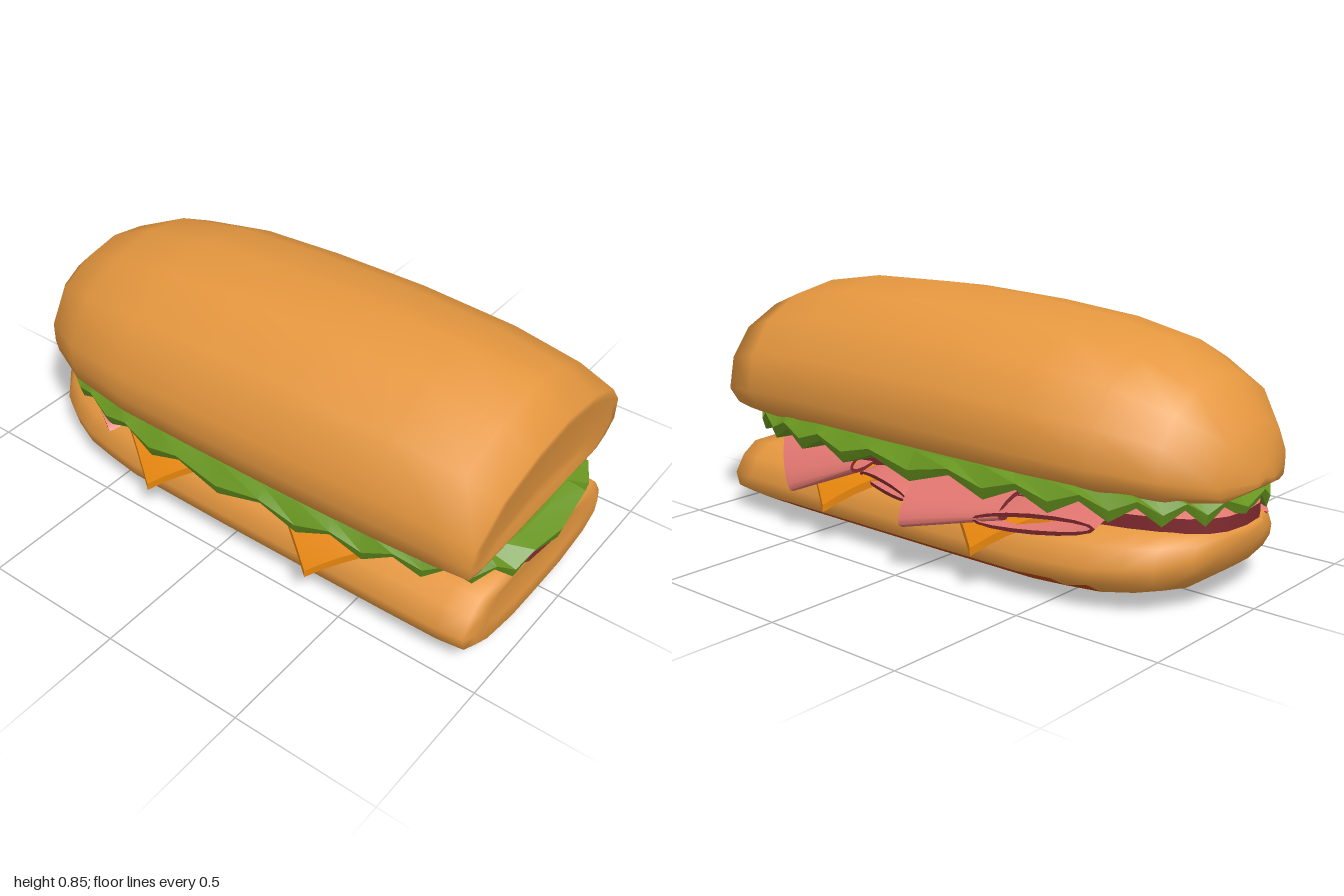
import * as THREE from 'three';
import { toCreasedNormals } from 'three/addons/utils/BufferGeometryUtils.js';

const paint = (name, color) => Object.assign(new THREE.MeshStandardMaterial({ color }), { name });
const V = (x, y, z) => new THREE.Vector3(x, y, z);

// Skin a list of equal rings; pick(normal, centre, band) returns a material index per face.
function loft(name, rings, mats, { wrap = false, crease = 1, pick = () => 0 } = {}) {
  const n = rings[0].length, m = rings.length;
  const pts = rings.flat(), tris = [];
  for (let r = 0; r < (wrap ? m : m - 1); r++) {
    const a = r * n, b = ((r + 1) % m) * n;
    for (let i = 0; i < n; i++) {
      const j = (i + 1) % n;
      tris.push([a + i, a + j, b + j, r], [a + i, b + j, b + i, r]);
    }
  }
  if (!wrap) {
    for (const [r, flip] of [[0, true], [m - 1, false]]) {
      const c = pts.length;
      pts.push(rings[r].reduce((s, p) => s.add(p), V(0, 0, 0)).divideScalar(n));
      for (let i = 0; i < n; i++) {
        const p = r * n + i, q = r * n + (i + 1) % n;
        tris.push(flip ? [c, q, p, -1] : [c, p, q, m]);
      }
    }
  }
  // turn the skin outwards
  let volume = 0;
  for (const [a, b, c] of tris) volume += pts[a].dot(V(0, 0, 0).crossVectors(pts[b], pts[c]));
  const lists = mats.map(() => []);
  for (const [a, b, c, band] of tris) {
    const t = volume < 0 ? [a, c, b] : [a, b, c];
    const tri = new THREE.Triangle(...t.map(i => pts[i]));
    lists[pick(tri.getNormal(V(0, 0, 0)), tri.getMidpoint(V(0, 0, 0)), band)].push(...t);
  }
  const geo = new THREE.BufferGeometry().setFromPoints(pts);
  geo.setIndex(lists.flat());
  let start = 0;
  lists.forEach((l, i) => { geo.addGroup(start, l.length, i); start += l.length; });
  const mesh = new THREE.Mesh(toCreasedNormals(geo, crease), mats);
  mesh.name = name;
  return mesh;
}

// Bun: a normalised profile scaled at stations [z, halfWidth, bottom, top, lean]
function bun(name, cx, profile, stations, mats, pick) {
  const rings = stations.map(([z, w, lo, hi, lean = 0]) =>
    profile.map(([u, v]) => V(cx + u * w, lo + v * (hi - lo), z + lean * v)));
  return loft(name, rings, mats, { crease: 1.7, pick });
}

// Long plan outline used by the flat fillings: squarer in front, rounder at the back
function outline(n, cx, halfW, front, back, yAt) {
  return Array.from({ length: n }, (_, i) => {
    const a = i / n * Math.PI * 2, c = Math.cos(a), s = Math.sin(a);
    const x = Math.sign(c) * Math.abs(c) ** (s > 0 ? 0.55 : 0.72) * halfW;
    const z = Math.sign(s) * Math.abs(s) ** 0.85 * (s > 0 ? front : back);
    return V(cx + x, yAt(i, x), z);
  });
}

// Folded slice: a flattened hollow loop from edge a-b (open rim) to edge c-d
function fold(name, a, b, c, d, thick, mats) {
  const n = 16;
  const ring = (p, q, h, shrink) => {
    const mid = p.clone().lerp(q, 0.5), half = q.clone().sub(p).multiplyScalar(0.5);
    const axis = c.clone().add(d).sub(a).sub(b);
    const side = V(0, 0, 0).crossVectors(axis, half).normalize();
    const k = 1 - shrink / half.length();
    return Array.from({ length: n }, (_, i) => {
      const t = i / n * Math.PI * 2;
      return mid.clone().addScaledVector(half, Math.cos(t) * k)
        .addScaledVector(side, Math.sin(t) * (h - shrink));
    });
  };
  const rings = [ring(a, b, thick, 0), ring(c, d, thick * 0.7, 0),
    ring(c, d, thick * 0.7, 0.014), ring(a, b, thick, 0.014)];
  return loft(name, rings, mats, { wrap: true, crease: 0.9, pick: (nr, p, band) => band % 2 });
}

export function createModel() {
  const bread = paint('bread', 0xe5973f), crust = paint('darkCrust', 0xb8450c);
  const green = paint('lettuceGreen', 0x67941f), pink = paint('hamPink', 0xe0756f);
  const rind = paint('hamRind', 0x7f2a2e), yellow = paint('cheeseOrange', 0xe8870c);
  const model = new THREE.Group();
  model.name = 'sandwich';

  // Top bun: domed, leaning cut at the front, rounded at the back
  const dome = [[0, 1], [0.4, 0.93], [0.72, 0.76], [0.92, 0.51], [1, 0.23], [0.93, 0.09], [0.82, 0.01],
    [0.4, 0], [0, 0], [-0.4, 0], [-0.84, 0.01], [-0.97, 0.06], [-1, 0.2], [-1, 0.4], [-0.78, 0.74], [-0.4, 0.93]];
  model.add(bun('topBun', -0.04, dome, [
    [0.91, 0.28, 0.4, 0.64, 0.04], [0.92, 0.39, 0.367, 0.7, 0.05], [0.917, 0.428, 0.357, 0.735, 0.058],
    [0.8, 0.44, 0.352, 0.79, 0.05],
    [0.6, 0.452, 0.35, 0.832], [0.25, 0.46, 0.35, 0.845], [-0.1, 0.46, 0.35, 0.834], [-0.4, 0.455, 0.35, 0.81],
    [-0.65, 0.415, 0.347, 0.765], [-0.83, 0.325, 0.343, 0.68], [-0.95, 0.19, 0.343, 0.56],
    [-0.995, 0.05, 0.375, 0.43]], [bread]));

  // Bottom bun with a dark baked underside that tapers towards both ends
  const half = [[0.4, 0.01], [0.79, 0.14], [0.97, 0.32], [1, 0.54], [0.91, 0.8], [0.78, 0.97], [0.4, 1]];
  const loaf = [[0, 0], ...half, [0, 1], ...half.map(([u, v]) => [-u, v]).reverse()];
  model.add(bun('bottomBun', -0.035, loaf, [
    [0.93, 0.28, 0.06, 0.19], [0.938, 0.38, 0.025, 0.22], [0.92, 0.422, 0.01, 0.24], [0.83, 0.432, 0.002, 0.248],
    [0.62, 0.434, 0, 0.25], [0.4, 0.435, 0, 0.25], [0, 0.435, 0, 0.25], [-0.4, 0.43, 0, 0.25],
    [-0.52, 0.415, 0.004, 0.25], [-0.64, 0.395, 0.01, 0.25], [-0.74, 0.355, 0.025, 0.25], [-0.82, 0.31, 0.045, 0.25],
    [-0.9, 0.22, 0.1, 0.245], [-0.94, 0.11, 0.165, 0.235]], [bread, crust],
  (nr, p) => {
    const end = Math.max(p.z - 0.6, -0.5 - p.z, 0);
    return nr.y < -0.7 && p.z < 0.86 && p.z > -0.81 && p.y < 0.07 - end * 0.1 ? 1 : 0;
  }));

  // Cheese: turned squares whose side corners droop
  for (const [z, y] of [[0.38, 0.25], [-0.28, 0.255]]) {
    const geo = new THREE.BoxGeometry(0.8, 0.026, 0.8, 12, 1, 12).rotateY(Math.PI / 4);
    const p = geo.attributes.position;
    for (let i = 0; i < p.count; i++) {
      const over = Math.max(0, Math.abs(p.getX(i)) - 0.36);
      p.setX(i, p.getX(i) - Math.sign(p.getX(i)) * over * 0.38);
      p.setY(i, p.getY(i) - over * (0.35 + over * 1.2));
    }
    const cheese = new THREE.Mesh(toCreasedNormals(geo, 0.6), yellow);
    cheese.name = 'cheeseSlice';
    cheese.position.set(-0.03, y, z);
    model.add(cheese);
  }

  // Flat ham slice with a dark rind
  const flat = (w, f, b, y) => outline(40, -0.03, w, f, b, () => y);
  model.add(loft('hamSlice', [flat(0.3, 0.93, 0.91, 0.242), flat(0.335, 0.965, 0.945, 0.242),
    flat(0.335, 0.965, 0.945, 0.288), flat(0.3, 0.93, 0.9, 0.312)], [pink, rind],
  { crease: 0.6, pick: (nr, p, band) => (band === 1 ? 1 : 0) }));

  // Folded ham slices hanging over the sides
  const ham = [pink, rind];
  model.add(
    fold('frontHamFold', V(0.24, 0.3, 0.78), V(0.45, 0.155, 0.55), V(0.22, 0.3, 0.32), V(0.42, 0.275, 0.28), 0.046, ham),
    fold('sideHamFold', V(0.36, 0.245, 0.3), V(0.42, 0.225, 0.02), V(0.2, 0.27, 0.28), V(0.2, 0.27, 0.02), 0.026, ham),
    fold('middleHamFold', V(0.26, 0.3, 0.06), V(0.5, 0.17, -0.02), V(0.24, 0.29, -0.34), V(0.42, 0.25, -0.36), 0.046, ham),
    fold('backHamFold', V(0.44, 0.23, -0.27), V(0.35, 0.265, -0.67), V(0.2, 0.28, -0.25), V(0.14, 0.285, -0.62), 0.034, ham),
    fold('leftHamFold', V(-0.46, 0.225, -0.5), V(-0.2, 0.235, -0.92), V(-0.26, 0.27, -0.4), V(-0.04, 0.27, -0.78), 0.038, ham));

  // Lettuce: a tilted leaf with a zigzag drooping rim
  const leaf = (w, f, b, y, k) => outline(48, -0.025, w, f, b,
    (i, x) => y + x * 0.07 + (i % 2 ? k : -k));
  model.add(loft('lettuce', [leaf(0.35, 0.86, 0.82, 0.31, 0), leaf(0.455, 0.98, 0.94, 0.288, 0.026),
    leaf(0.465, 0.99, 0.95, 0.318, 0.018), leaf(0.425, 0.93, 0.88, 0.358, 0)], [green], { crease: 0.5 }));

  return model;
}
